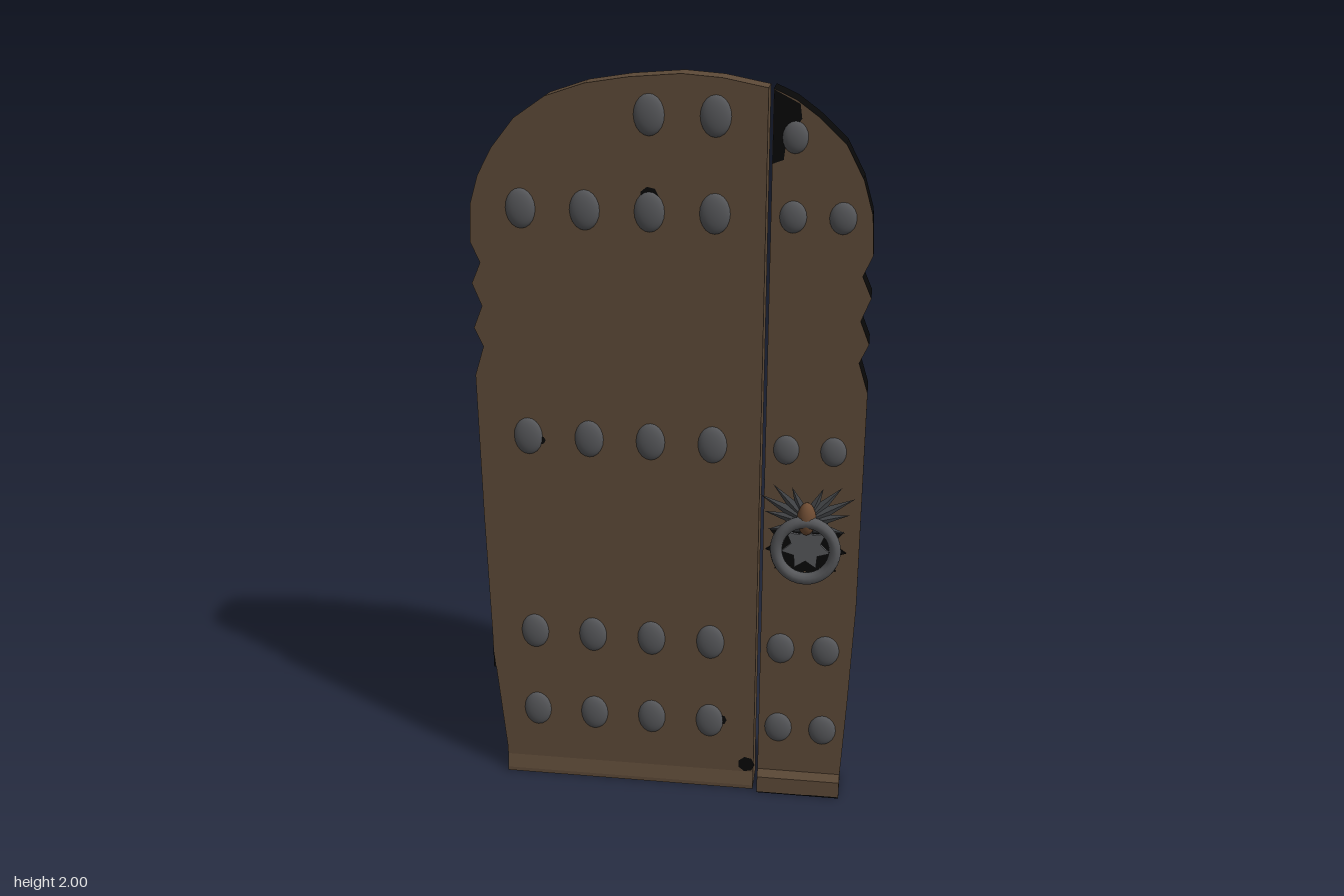
import * as THREE from 'three';

const mat = (name, color) => {
  const m = new THREE.MeshStandardMaterial({ color });
  m.name = name;
  return m;
};

export function createModel() {
  const wood = mat('wood', 0x5c4937);
  const black = mat('black edge', 0x080808);
  const iron = mat('iron', 0x56575a);
  const darkIron = mat('dark iron', 0x45474a);
  const bronze = mat('bronze', 0x6e4c33);

  const door = new THREE.Group();
  door.name = 'archedDoor';

  const add = (parent, name, geo, material, x = 0, y = 0, z = 0) => {
    const m = new THREE.Mesh(geo, material);
    m.name = name;
    m.position.set(x, y, z);
    parent.add(m);
    return m;
  };
  const toShape = (pts) => new THREE.Shape(pts.map(([x, y]) => new THREE.Vector2(x, y)));
  // extrusion centred on z = 0
  const slab = (pts, depth) =>
    new THREE.ExtrudeGeometry(toShape(pts), { depth, bevelEnabled: false }).translate(0, 0, -depth / 2);

  // wavy notches shared by both outer edges, as [inset, height]
  const notches = [[0, 1.21], [0.025, 1.29], [0.002, 1.34], [0.026, 1.4], [0.002, 1.46],
    [0.026, 1.515], [0.002, 1.57], [0.008, 1.67]];

  // wide leaf
  const wide = [[0.242, 0], [-0.473, 0], [-0.475, 0.08], [-0.503, 0.39], [-0.512, 0.8],
    ...notches.map(([i, y]) => [-0.517 + i, y]),
    [-0.488, 1.74], [-0.45, 1.81], [-0.39, 1.885], [-0.31, 1.94], [-0.21, 1.973],
    [-0.1, 1.99], [0.03, 2], [0.13, 1.992], [0.242, 1.97]];
  add(door, 'wideLeaf', slab(wide, 0.076), wood);

  // narrow leaf with dark rim
  const narrow = [[0.255, 0], [0.487, 0], [0.488, 0.08], [0.499, 0.3], [0.511, 0.6],
    ...notches.map(([i, y]) => [0.513 - i, y]),
    [0.48, 1.755], [0.435, 1.84], [0.365, 1.905], [0.31, 1.945], [0.255, 1.97]];
  add(door, 'narrowLeaf', slab(narrow, 0.094), [wood, black]);

  // skirting at the foot of each leaf: a profile in z and y swept along x
  const skirting = (name, x0, x1, low, high, yLow, yHigh, material) => {
    const geo = slab([[-low, 0], [low, 0], [low, yLow], [high, yHigh], [-high, yHigh], [-low, yLow]], x1 - x0);
    add(door, name, geo.rotateY(Math.PI / 2), material, (x0 + x1) / 2, 0.003, 0);
  };
  skirting('wideSkirting', -0.473, 0.242, 0.048, 0.036, 0.008, 0.055, wood);
  skirting('narrowSkirting', 0.255, 0.487, 0.063, 0.047, 0.048, 0.066, [black, wood]);
  add(door, 'narrowSole', new THREE.BoxGeometry(0.232, 0.004, 0.126), black, 0.371, 0.002, 0);
  add(door, 'wideSole', new THREE.BoxGeometry(0.715, 0.004, 0.096), wood, -0.1155, 0.002, 0);

  // dark worn spot on the outer edge
  add(door, 'edgeWear', new THREE.BoxGeometry(0.006, 0.13, 0.074), black, -0.5015, 0.4, 0);

  // domed studs on both faces
  const dome = new THREE.SphereGeometry(1, 20, 6, 0, Math.PI * 2, 0, Math.PI / 2).rotateX(Math.PI / 2);
  const stud = (side, x, y, z, rx, ry) => {
    const m = add(side, 'stud', dome, iron, x, y, z);
    m.scale.set(rx, ry, 0.016);
  };
  const rows = [0.21, 0.46, 1.045, 1.66];
  const columns = [-0.38, -0.215, -0.05, 0.115];

  // pointed feather: flat diamond with a raised ridge
  const feather = (parent, x, y, length, width, angle) => {
    const geo = new THREE.ConeGeometry(width, length, 4).translate(0, length / 2, 0);
    geo.scale(1, 1, 0.45);
    const m = add(parent, 'feather', geo.toNonIndexed(), darkIron, x, y, 0.005);
    m.geometry.computeVertexNormals();
    m.rotation.z = angle;
  };
  const star = (n, outer, inner) => Array.from({ length: n * 2 }, (_, i) => {
    const a = Math.PI / 2 + (i * Math.PI) / n;
    const r = i % 2 ? inner : outer;
    return [r * Math.cos(a), r * Math.sin(a)];
  });

  const knocker = (side) => {
    const k = new THREE.Group();
    k.name = 'knocker';
    k.position.set(0.37, 0.775, 0.05);
    side.add(k);
    // spiked back plates
    add(k, 'backPlate', slab(star(11, 0.108, 0.072), 0.006), black, 0, 0, 0);
    add(k, 'starPlate', slab(star(7, 0.066, 0.04), 0.01), iron, 0, 0, 0.006);
    // hanging ring
    const ring = add(k, 'ring', new THREE.TorusGeometry(0.078, 0.016, 10, 32), iron, 0, -0.002, 0.026);
    ring.scale.y = 1.05;
    // spread wings and bronze boss
    for (const s of [-1, 1]) {
      feather(k, s * 0.015, 0.075, 0.1, 0.02, -s * 1.35);
      feather(k, s * 0.015, 0.085, 0.125, 0.021, -s * 1.08);
      feather(k, s * 0.012, 0.09, 0.115, 0.02, -s * 0.75);
      feather(k, s * 0.01, 0.095, 0.08, 0.018, -s * 0.4);
      feather(k, s * 0.02, 0.06, 0.085, 0.018, -s * 1.75);
    }
    const boss = add(k, 'boss', new THREE.SphereGeometry(1, 16, 12), bronze, 0, 0.085, 0.016);
    boss.scale.set(0.025, 0.046, 0.024);
  };

  // everything fixed to one face; the back face mirrors the front in z
  const dressFace = (front) => {
    const side = new THREE.Group();
    side.name = front ? 'frontFittings' : 'backFittings';
    side.scale.z = front ? 1 : -1;
    for (const y of rows) {
      for (const x of columns) stud(side, x, y, 0.037, 0.039, 0.052);
      const r = y < 0.5 ? 0.038 : 0.034;
      for (const x of [0.31, 0.433]) stud(side, x, y, 0.046, r, r * 1.2);
    }
    for (const x of [-0.05, 0.115]) stud(side, x, 1.9, 0.037, 0.039, 0.052);
    stud(side, 0.31, 1.855, 0.046, 0.032, 0.04);
    knocker(side);

    // dark worn patches
    add(side, 'topWear', new THREE.ShapeGeometry(toShape([[0.256, 1.79], [0.283, 1.8], [0.289, 1.85],
      [0.325, 1.9], [0.32, 1.935], [0.256, 1.968]])), black, 0, 0, 0.0485);
    const marks = front
      ? [[-0.05, 1.7, 0.024], [0.148, 0.215, 0.016], [-0.345, 1.035, 0.012], [0.222, 0.075, 0.024]]
      : [[-0.05, 1.7, 0.028], [-0.215, 1.7, 0.028], [-0.38, 1.7, 0.02], [-0.215, 1.09, 0.024]];
    for (const [x, y, r] of marks) {
      add(side, 'wearMark', new THREE.CircleGeometry(r, 7), black, x, y, 0.0395);
    }
    door.add(side);
  };
  dressFace(true);
  dressFace(false);

  return door;
}
